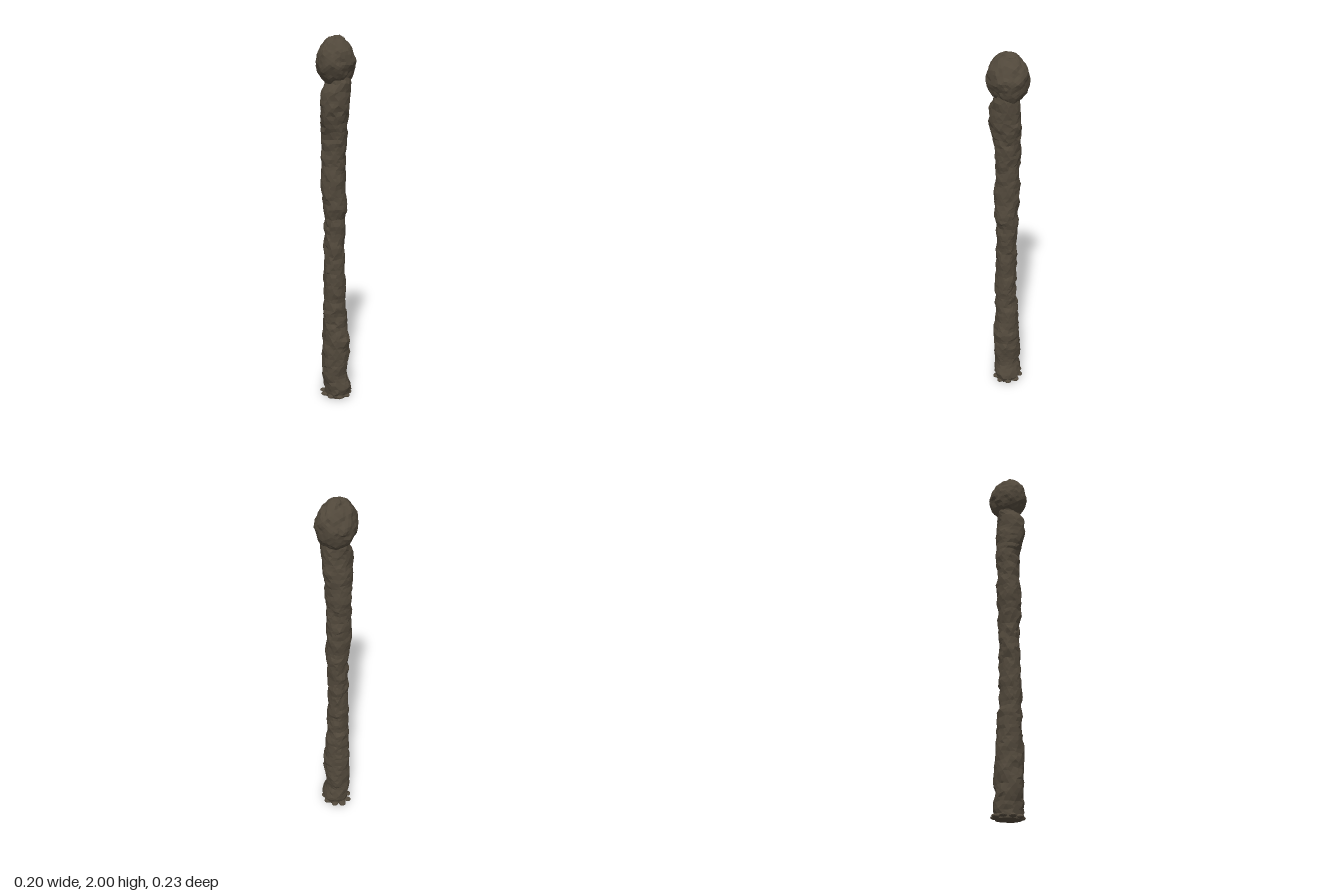
import * as THREE from 'three';

// Repeatable noise on a lattice, in the range -1..1
function hash(x, y, z) {
  const s = Math.sin(x * 127.1 + y * 311.7 + z * 74.7) * 43758.5453;
  return (s - Math.floor(s)) * 2 - 1;
}
function noise(x, y, z) {
  const i = [x, y, z].map(Math.floor);
  const f = [x - i[0], y - i[1], z - i[2]].map((t) => t * t * (3 - 2 * t));
  let sum = 0;
  for (let k = 0; k < 8; k++) {
    const d = [k & 1, (k >> 1) & 1, k >> 2];
    const w = d.reduce((p, on, a) => p * (on ? f[a] : 1 - f[a]), 1);
    sum += w * hash(i[0] + d[0], i[1] + d[1], i[2] + d[2]);
  }
  return sum;
}
const bump = (p) =>
  0.008 * noise(p.x * 24 + 5, p.y * 24, p.z * 24 + 9) + 0.005 * noise(p.x * 60, p.y * 60 + 3, p.z * 60);

// Shaft outline: y, x min, x max, z min, z max
const OUTLINE = [
  [0.0, -0.06, 0.07, -0.06, 0.06], [0.05, -0.07, 0.09, -0.08, 0.07],
  [0.13, -0.072, 0.068, -0.062, 0.078], [0.25, -0.077, 0.082, -0.07, 0.08],
  [0.35, -0.07, 0.085, -0.065, 0.077], [0.45, -0.062, 0.066, -0.055, 0.072],
  [0.6, -0.058, 0.06, -0.045, 0.076], [0.8, -0.055, 0.055, -0.045, 0.071],
  [1.0, -0.053, 0.053, -0.048, 0.066], [1.1, -0.06, 0.068, -0.053, 0.072],
  [1.2, -0.067, 0.06, -0.058, 0.08], [1.35, -0.075, 0.058, -0.05, 0.072],
  [1.48, -0.076, 0.062, -0.057, 0.062], [1.55, -0.072, 0.068, -0.068, 0.092],
  [1.64, -0.066, 0.074, -0.074, 0.106], [1.71, -0.063, 0.08, -0.072, 0.096],
  [1.76, -0.06, 0.082, -0.064, 0.064], [1.84, -0.05, 0.06, -0.05, 0.05],
];
function outlineAt(y) {
  let i = 0;
  while (i < OUTLINE.length - 2 && OUTLINE[i + 1][0] < y) i++;
  const a = OUTLINE[i], b = OUTLINE[i + 1];
  const t = (y - a[0]) / (b[0] - a[0]);
  return a.map((v, k) => v + (b[k] - v) * t);
}

function shaftGeometry() {
  const sides = 18, rows = 90, height = 1.84;
  const pos = [], index = [], p = new THREE.Vector3();
  for (let r = 0; r <= rows; r++) {
    for (let s = 0; s < sides; s++) {
      const y = (r + (r > 0 && r < rows ? 0.3 * hash(r, s, 1) : 0)) * height / rows;
      const [, x0, x1, z0, z1] = outlineAt(y);
      const a = ((s + 0.5 * (r % 2) + 0.25 * hash(r, s, 2)) / sides) * Math.PI * 2;
      const c = Math.cos(a), n = Math.sin(a);
      p.set((x0 + x1) / 2 + c * (x1 - x0) / 2, y, (z0 + z1) / 2 + n * (z1 - z0) / 2);
      const d = bump(p);
      pos.push(p.x + c * d, y, p.z + n * d);
    }
  }
  for (let r = 0; r < rows; r++) {
    for (let s = 0; s < sides; s++) {
      const t = (s + 1) % sides;
      const a = r * sides + s, b = r * sides + t, c = a + sides, d = b + sides;
      if (r % 2) index.push(a, c, d, a, d, b);
      else index.push(a, c, b, b, c, d);
    }
  }
  // End caps
  for (let s = 1; s < sides - 1; s++) {
    const top = rows * sides;
    index.push(0, s, s + 1, top, top + s + 1, top + s);
  }
  const g = new THREE.BufferGeometry();
  g.setAttribute('position', new THREE.Float32BufferAttribute(pos, 3));
  g.setIndex(index);
  g.computeVertexNormals();
  return g;
}

// Roughened ball; taper narrows x toward the top
function rockGeometry(rx, ry, rz, detail, rough, taper, seed) {
  const g = new THREE.IcosahedronGeometry(1, detail);
  const at = g.attributes.position, v = new THREE.Vector3(), q = new THREE.Vector3();
  for (let i = 0; i < at.count; i++) {
    v.fromBufferAttribute(at, i);
    q.set(v.x * rx + seed, v.y * ry + 2, v.z * rz);
    const d = bump(q) * rough;
    const narrow = 1 - taper * Math.max(0, v.y);
    at.setXYZ(i, v.x * (rx * narrow + d), v.y * (ry + d), v.z * (rz + d));
  }
  g.computeVertexNormals();
  return g;
}

export function createModel() {
  const model = new THREE.Group();
  const stone = new THREE.MeshStandardMaterial({ color: 0x51483b, flatShading: true });
  stone.name = 'dark brown stone';
  const add = (name, geometry, x = 0, y = 0, z = 0) => {
    const m = new THREE.Mesh(geometry, stone);
    m.name = name;
    m.position.set(x, y, z);
    model.add(m);
    return m;
  };

  // Stacked rough shaft
  const shaft = shaftGeometry();
  // Face the winding outward
  add('shaft', shaft);

  // Boulder on top and the knob on its crown
  add('headBoulder', rockGeometry(0.097, 0.127, 0.114, 7, 1, 0.28, 0), 0, 1.868, 0);
  add('crownKnob', rockGeometry(0.035, 0.025, 0.045, 2, 0.5, 0, 4), 0.003, 1.974, -0.015);

  // Flat rubble round the foot
  for (let i = 0; i < 9; i++) {
    const a = (i / 9) * Math.PI * 2;
    const chip = add('footRubble', rockGeometry(0.028, 0.011, 0.02, 1, 0.3, 0, i),
      Math.cos(a) * 0.068, 0.0125, Math.sin(a) * 0.058);
    chip.rotation.y = -a;
  }
  return model;
}
